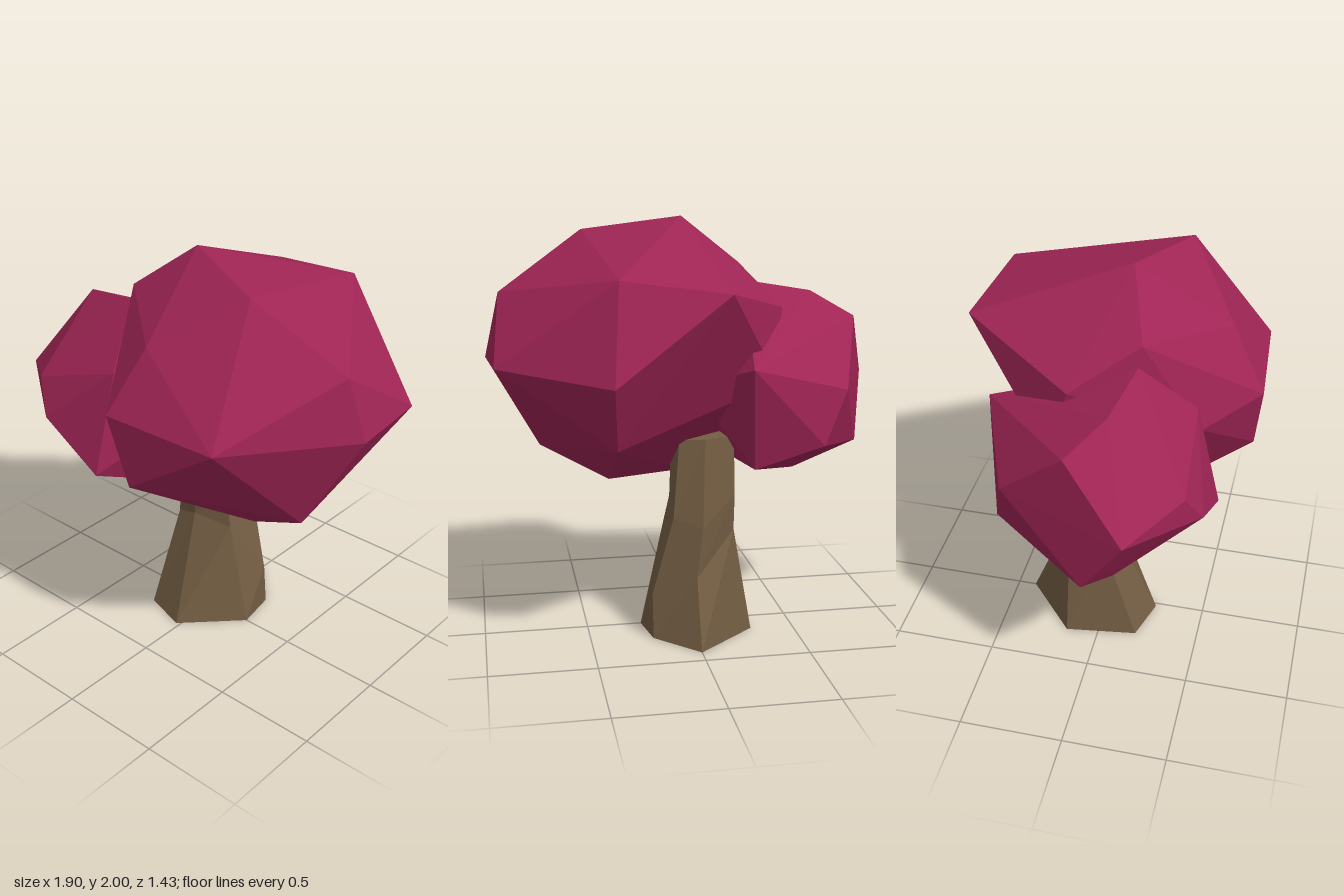
import * as THREE from 'three';
import { ConvexGeometry } from 'three/addons/geometries/ConvexGeometry.js';

const foliage = new THREE.MeshStandardMaterial({ color: 0xa02555 });
foliage.name = 'crimson foliage';
const bark = new THREE.MeshStandardMaterial({ color: 0x735d43 });
bark.name = 'brown bark';

// Faceted foliage mass: the hull of its corner points
function clump(name, corners) {
  const points = corners.map((c) => new THREE.Vector3(...c));
  const mesh = new THREE.Mesh(new ConvexGeometry(points), foliage);
  mesh.name = name;
  return mesh;
}

// Faceted tube through rings of corners, closed at both ends
function facetedTube(rings) {
  const pos = [];
  const tri = (a, b, c) => pos.push(...a, ...b, ...c);
  const n = rings[0].length;
  for (let r = 0; r < rings.length - 1; r++) {
    for (let i = 0; i < n; i++) {
      const j = (i + 1) % n;
      const [a, b, c, d] = [rings[r][i], rings[r][j], rings[r + 1][j], rings[r + 1][i]];
      tri(a, b, c);
      tri(a, c, d);
    }
  }
  const base = rings[0];
  const top = rings[rings.length - 1];
  for (let i = 1; i < n - 1; i++) {
    tri(base[0], base[i + 1], base[i]);
    tri(top[0], top[i], top[i + 1]);
  }
  const geo = new THREE.BufferGeometry();
  geo.setAttribute('position', new THREE.Float32BufferAttribute(pos, 3));
  geo.computeVertexNormals();
  return geo;
}

export function createModel() {
  const tree = new THREE.Group();
  tree.name = 'tree';

  // Six-sided trunk, flared at the foot
  const trunk = new THREE.Mesh(facetedTube([
    [[0.235, 0, 0], [0.2, 0, -0.2], [0, 0, -0.41], [-0.29, 0, -0.16], [-0.24, 0, 0.19], [-0.02, 0, 0.255]],
    [[0.12, 0.52, 0], [0.2, 0.22, -0.18], [0, 0.32, -0.28], [-0.2, 0.52, -0.16], [-0.2, 0.5, 0.02], [-0.08, 0.54, 0.04]],
    [[0.09, 0.66, -0.01], [0.1, 0.6, -0.2], [-0.03, 0.56, -0.27], [-0.2, 0.7, -0.18], [-0.19, 0.7, 0.02], [-0.08, 0.7, 0.04]],
    [[0.08, 0.98, -0.02], [0.07, 0.98, -0.19], [-0.05, 0.98, -0.21], [-0.2, 0.98, -0.15], [-0.17, 0.98, 0.02], [-0.08, 0.98, 0.03]],
  ]), bark);
  trunk.name = 'trunk';
  tree.add(trunk);

  // Large crown
  tree.add(clump('largeCrown', [
    [0.01, 2, 0.11], [0.47, 1.93, 0.3], [0.88, 1.65, 0.16], [0.95, 1.35, 0.11],
    [0.92, 1.36, -0.29], [0.7, 0.89, 0.2], [0.37, 0.72, 0.12], [-0.03, 0.74, 0.18],
    [0.59, 1.39, 0.68], [0.02, 1.4, 0.715], [0.11, 1.06, 0.68], [0.11, 1.69, 0.55],
    [0.39, 1.77, -0.56], [-0.09, 1.71, -0.635], [-0.29, 1.77, 0.21], [-0.44, 1.58, -0.09],
    [0.43, 1.33, -0.715], [0.4, 1.02, -0.53], [-0.4, 1.24, -0.2], [-0.2, 1.31, 0.47],
  ]));

  // Small crown on the right side
  tree.add(clump('smallCrown', [
    [-0.95, 1.2, 0.27], [-0.82, 1.52, -0.01], [-0.64, 1.63, 0.14], [-0.32, 1.68, 0.2],
    [-0.7, 1.22, -0.33], [-0.57, 1.12, 0.55], [-0.22, 0.94, 0.57], [-0.2, 1.43, 0.45],
    [-0.67, 1.28, 0.48], [-0.87, 0.88, 0.07], [-0.58, 0.97, -0.39], [-0.21, 1.36, -0.52],
    [-0.25, 0.87, -0.38], [-0.52, 0.78, -0.03], [-0.67, 0.79, 0.17], [-0.21, 0.81, 0.3],
    [-0.02, 1.2, 0],
  ]));

  return tree;
}
